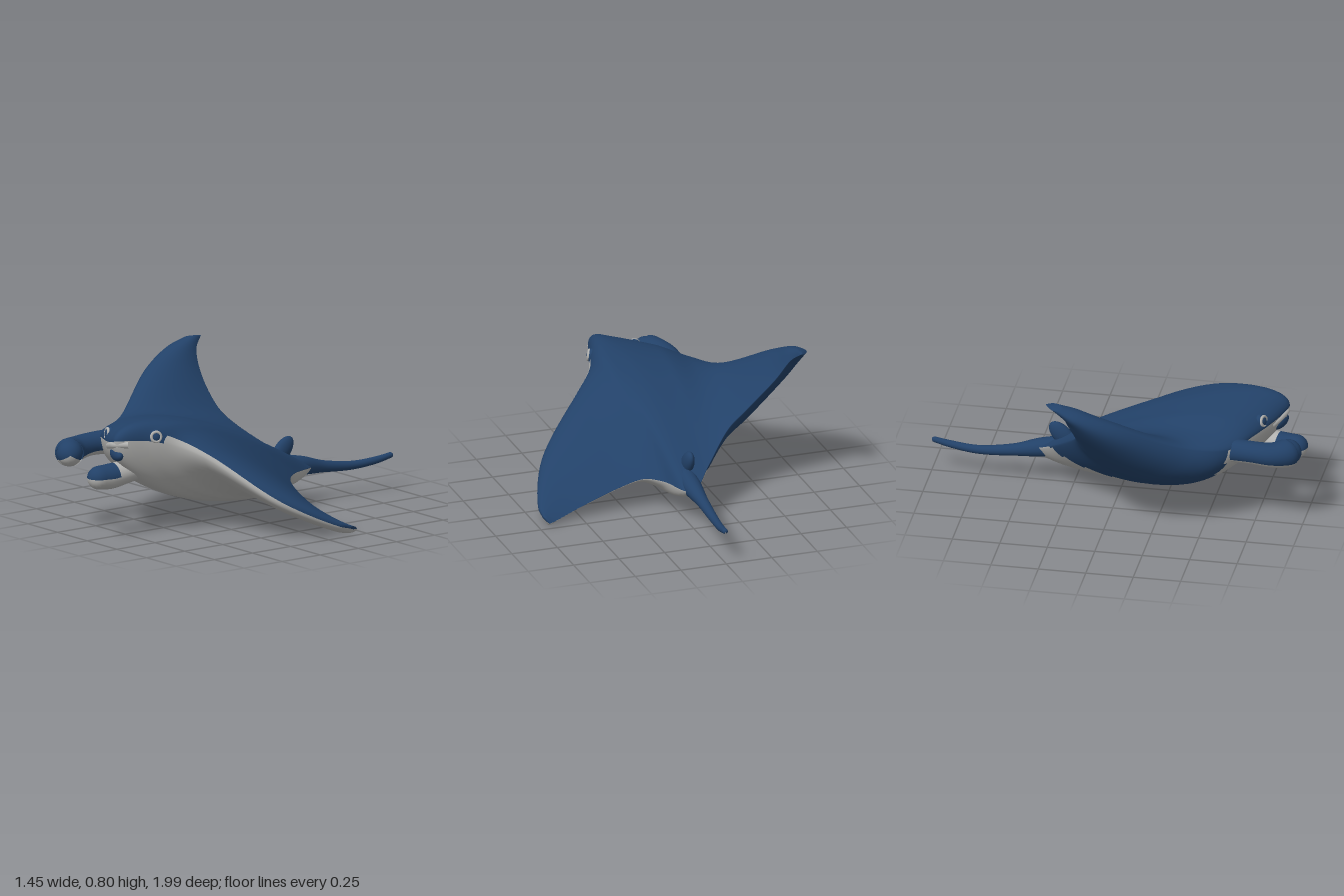
import * as THREE from 'three';

const blue = new THREE.MeshStandardMaterial({ color: 0x224168 });
blue.name = 'deep blue skin';
const pale = new THREE.MeshStandardMaterial({ color: 0xb2b2b0 });
pale.name = 'pale belly';

// Smooth skin over closed rings; isPale(i, j) picks the colour of each quad.
function skin(name, rings, isPale) {
  const n = rings[0].length;
  const centre = (ring) => ring.reduce((s, p) => s.add(p), new THREE.Vector3()).divideScalar(n);
  const all = [rings[0].map(() => centre(rings[0])), ...rings, rings[0].map(() => centre(rings[rings.length - 1]))];
  const faces = [[], []];
  for (let i = 0; i < all.length - 1; i++) {
    for (let j = 0; j < n; j++) {
      const k = (j + 1) % n;
      const a = i * n + j, b = a + n, c = (i + 1) * n + k, d = i * n + k;
      faces[isPale(i, j) ? 1 : 0].push(a, b, d, b, c, d);
    }
  }
  const g = new THREE.BufferGeometry().setFromPoints(all.flat());
  g.setIndex([...faces[0], ...faces[1]]);
  g.addGroup(0, faces[0].length, 0);
  g.addGroup(faces[0].length, faces[1].length, 1);
  g.computeVertexNormals();
  const mesh = new THREE.Mesh(g, [blue, pale]);
  mesh.name = name;
  return mesh;
}

// Tapered tube with a rounded end; points are [x, y, z, radius].
function taperedTube(name, points, steps, sides, isPale) {
  const path = new THREE.CatmullRomCurve3(points.map((p) => new THREE.Vector3(p[0], p[1], p[2])));
  const radii = new THREE.CatmullRomCurve3(points.map((p) => new THREE.Vector3(p[3], 0, 0)));
  const rings = [];
  const addRing = (centre, tangent, r) => {
    const side = new THREE.Vector3().crossVectors(tangent, new THREE.Vector3(0, 1, 0)).normalize();
    const up = new THREE.Vector3().crossVectors(side, tangent);
    rings.push(Array.from({ length: sides }, (_, j) => {
      const a = (j / sides) * Math.PI * 2;
      return centre.clone().addScaledVector(side, Math.cos(a) * r).addScaledVector(up, Math.sin(a) * r);
    }));
  };
  for (let i = 0; i <= steps; i++) {
    addRing(path.getPoint(i / steps), path.getTangent(i / steps), radii.getPoint(i / steps).x);
  }
  const end = path.getPoint(1), dir = path.getTangent(1), r = points[points.length - 1][3];
  for (let k = 1; k <= 6; k++) {
    const a = (k / 6.3) * Math.PI / 2;
    addRing(end.clone().addScaledVector(dir, r * Math.sin(a)), dir, r * Math.cos(a));
  }
  return skin(name, rings, isPale);
}

// Chord sections from the raised wing tip to the lowered one:
// leading edge xyz, trailing edge xyz, upper bulge, lower bulge.
const SECTIONS = [
  [[-0.7, 0.8, -0.19], [-0.675, 0.8, -0.27], 0.06, 0.07],
  [[-0.705, 0.765, -0.08], [-0.635, 0.745, -0.21], 0.11, 0.14],
  [[-0.66, 0.68, 0.1], [-0.56, 0.635, -0.18], 0.14, 0.2],
  [[-0.47, 0.5, 0.42], [-0.4, 0.48, -0.17], 0.16, 0.34],
  [[-0.365, 0.46, 0.63], [-0.3, 0.41, -0.2], 0.23, 0.46],
  [[-0.21, 0.48, 0.74], [-0.14, 0.28, -0.34], 0.4, 0.57],
  [[0, 0.51, 0.85], [-0.02, 0.2, -0.46], 0.48, 0.57],
  [[0.08, 0.53, 0.87], [0.025, 0.2, -0.45], 0.45, 0.57],
  [[0.15, 0.52, 0.7], [0.09, 0.2, -0.29], 0.4, 0.5],
  [[0.2, 0.48, 0.57], [0.17, 0.19, -0.2], 0.32, 0.37],
  [[0.3, 0.42, 0.46], [0.28, 0.15, -0.17], 0.22, 0.23],
  [[0.58, 0.19, 0.2], [0.52, 0.065, -0.175], 0.17, 0.11],
  [[0.705, 0.05, -0.09], [0.65, 0.03, -0.21], 0.09, 0.08],
  [[0.71, 0.03, -0.17], [0.695, 0.025, -0.23], 0.05, 0.05],
];

// Head, trunk and both wings as one continuous skin.
function bodyAndWings() {
  const curve = (f) => new THREE.CatmullRomCurve3(SECTIONS.map((s) => new THREE.Vector3(...f(s))));
  const lead = curve((s) => s[0]), trail = curve((s) => s[1]), bulge = curve((s) => [s[2], s[3], 0]);
  const perSection = 8, spans = (SECTIONS.length - 1) * perSection, half = 28;
  const middle = (u) => lead.getPoint(u).lerp(trail.getPoint(u), 0.5);
  const rings = [];
  for (let i = 0; i <= spans; i++) {
    const u = i / spans;
    // Bulges point straight up on the trunk and lean with the wings further out
    const slope = middle(Math.min(1, u + 0.04)).sub(middle(Math.max(0, u - 0.04)));
    const lean = THREE.MathUtils.smoothstep(Math.abs(middle(u).x), 0.15, 0.5);
    const normal = new THREE.Vector3(-slope.y * lean, slope.x, 0).normalize();
    const L = lead.getPoint(u), T = trail.getPoint(u), b = bulge.getPoint(u);
    rings.push(Array.from({ length: half * 2 }, (_, j) => {
      const t = (1 - Math.cos((j / half) * Math.PI)) / 2;
      const h = j <= half ? b.x * Math.pow(t, 0.56) * (1 - t) : -b.y * Math.sqrt(t) * Math.pow(1 - t, 0.7);
      return L.clone().lerp(T, t).addScaledVector(normal, h);
    }));
  }
  // Pale underside, except beneath the raised wing; it wraps the lowered wing's front edge
  return skin('bodyAndWings', rings, (i, j) =>
    (j >= half && i > 4 * perSection + 9 * (2 - j / half)) || (j < 3 && i > 8.5 * perSection));
}

// Raised eye with a pale ring, facing along dir.
function eye(name, pos, dir) {
  const group = new THREE.Group();
  group.name = name;
  const ball = new THREE.Mesh(new THREE.SphereGeometry(0.037, 24, 16), blue);
  ball.name = 'eyeball';
  ball.scale.z = 0.8;
  const ring = new THREE.Mesh(new THREE.TorusGeometry(0.025, 0.008, 8, 28), pale);
  ring.name = 'eyeRing';
  ring.position.z = 0.019;
  group.add(ball, ring);
  group.position.set(...pos);
  group.quaternion.setFromUnitVectors(new THREE.Vector3(0, 0, 1), new THREE.Vector3(...dir).normalize());
  return group;
}

export function createModel() {
  const model = new THREE.Group();
  model.name = 'mantaRay';
  model.add(bodyAndWings());

  // Tail with a narrow pale underside
  model.add(taperedTube('tail', [
    [-0.02, 0.23, -0.28, 0.055], [-0.02, 0.205, -0.42, 0.05], [-0.025, 0.18, -0.56, 0.032],
    [-0.02, 0.16, -0.75, 0.023], [-0.005, 0.17, -0.9, 0.019], [0.002, 0.185, -0.985, 0.015],
  ], 36, 16, (i, j) => j === 11 || j === 12));

  // Small dorsal fin
  const fin = new THREE.Mesh(new THREE.SphereGeometry(1, 20, 14), blue);
  fin.name = 'dorsalFin';
  fin.scale.set(0.03, 0.09, 0.05);
  fin.position.set(-0.035, 0.295, -0.305);
  fin.rotation.x = -0.75;
  model.add(fin);

  // Head fins curling forward on each side of the mouth
  model.add(taperedTube('rightHeadFin', [
    [-0.28, 0.43, 0.54, 0.07], [-0.308, 0.43, 0.74, 0.06], [-0.297, 0.42, 0.85, 0.066],
    [-0.26, 0.418, 0.915, 0.075], [-0.245, 0.418, 0.925, 0.068],
  ], 24, 24, (i, j) => j > 13 && j < 22));
  model.add(taperedTube('leftHeadFin', [
    [0.02, 0.36, 0.6, 0.07], [0.02, 0.35, 0.72, 0.06], [0.002, 0.33, 0.85, 0.066], [-0.003, 0.33, 0.92, 0.062],
  ], 24, 24, (i, j) => i < 15 || j >= 12));

  // Mouth opening and pale upper lip
  const mouth = new THREE.Mesh(new THREE.SphereGeometry(1, 24, 16), blue);
  mouth.name = 'mouth';
  mouth.scale.set(0.072, 0.036, 0.03);
  mouth.position.set(0.03, 0.45, 0.83);
  mouth.rotation.y = -0.35;
  model.add(mouth);
  const lipPath = new THREE.CatmullRomCurve3([
    new THREE.Vector3(-0.07, 0.472, 0.8), new THREE.Vector3(0, 0.492, 0.84),
    new THREE.Vector3(0.06, 0.507, 0.857), new THREE.Vector3(0.112, 0.51, 0.815),
  ]);
  const lip = new THREE.Mesh(new THREE.TubeGeometry(lipPath, 30, 0.019, 10), pale);
  lip.name = 'upperLip';
  model.add(lip);

  // Eyes
  model.add(eye('rightEye', [-0.12, 0.52, 0.755], [-0.35, 0.2, 0.9]));
  model.add(eye('leftEye', [0.143, 0.54, 0.665], [0.9, 0.1, 0.4]));
  return model;
}
